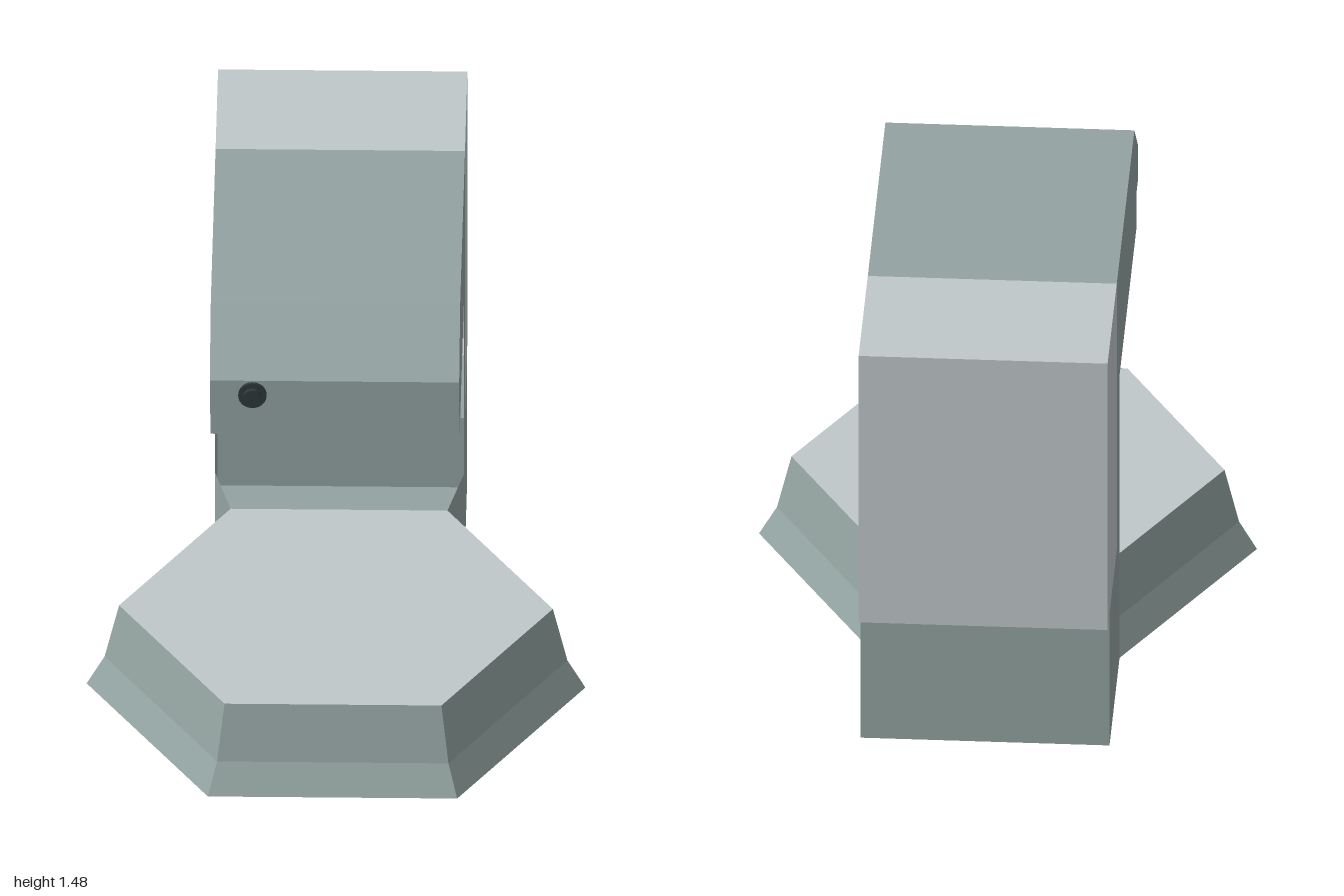
import * as THREE from 'three';

const W = 0.395; // half width of the column and head

export function createModel() {
  const group = new THREE.Group();
  const mat = (name, color) => {
    const m = new THREE.MeshStandardMaterial({ color, side: THREE.DoubleSide });
    m.name = name;
    return m;
  };
  const teal = mat('greyTeal', 0x93a3a1);
  const grey = mat('lightGrey', 0xc0c8ca);
  const dark = mat('darkLens', 0x2e383a);

  const add = (name, geometry, material) => {
    const mesh = new THREE.Mesh(geometry, material);
    mesh.name = name;
    group.add(mesh);
    return mesh;
  };
  const faces = (points) => {
    const g = new THREE.BufferGeometry();
    g.setAttribute('position', new THREE.Float32BufferAttribute(points, 3));
    g.computeVertexNormals();
    return g;
  };
  // flat panels spanning the full width along a [z, y] path
  const strip = (path) => {
    const p = [];
    for (let i = 0; i < path.length - 1; i++) {
      const [z0, y0] = path[i], [z1, y1] = path[i + 1];
      p.push(-W, y0, z0, W, y0, z0, W, y1, z1, -W, y0, z0, W, y1, z1, -W, y1, z1);
    }
    return faces(p);
  };
  // a pair of thin side walls from a [z, y] outline
  const sideWalls = (name, outline, material) => {
    const shape = new THREE.Shape(outline.map(([z, y]) => new THREE.Vector2(z, y)));
    for (const s of [-1, 1]) {
      const g = new THREE.ShapeGeometry(shape);
      g.rotateY(-Math.PI / 2);
      if (s > 0) {
        g.rotateY(Math.PI);
        g.scale(1, 1, -1);
        const idx = g.index.array;
        for (let i = 0; i < idx.length; i += 3) [idx[i], idx[i + 1]] = [idx[i + 1], idx[i]];
      }
      g.translate(s * W, 0, 0);
      const flat = g.toNonIndexed();
      flat.computeVertexNormals();
      add(name + (s > 0 ? 'Left' : 'Right'), flat, material);
    }
  };

  // hexagonal base: bevelled sides, top plate and underside
  const rim = [[0.79, 0], [0.733, 0.1], [0.687, 0.29]].map(([r, y]) => new THREE.Vector2(r, y));
  const baseSides = new THREE.LatheGeometry(rim, 6, Math.PI / 2).toNonIndexed();
  baseSides.computeVertexNormals();
  add('baseSides', baseSides, teal).position.z = 0.315;
  add('baseTop', new THREE.CircleGeometry(0.687, 6).rotateX(-Math.PI / 2), grey).position.set(0, 0.29, 0.315);
  add('baseUnderside', new THREE.CircleGeometry(0.79, 6).rotateX(Math.PI / 2), teal).position.z = 0.315;

  // gussets joining the base to the column
  for (const s of [-1, 1]) {
    add('gusset', faces([
      s * 0.3435, 0.29, -0.28, s * W, 0.375, -0.365, s * 0.3665, 0.1, -0.32,
      s * W, 0.375, -0.365, s * W, 0, -0.365, s * 0.3665, 0.1, -0.32,
    ]), teal);
  }

  // hollow column and head, open at the column's front
  sideWalls('bodySide', [
    [-0.9, 0], [-0.365, 0], [-0.365, 1.05], [0.515, 1.05], [0.515, 1.18], [0.61, 1.18],
    [0.61, 1.305], [0.415, 1.48], [-0.515, 1.48], [-0.515, 0.49], [-0.9, 0.49],
  ], teal);
  add('headShell', strip([
    [-0.365, 1.05], [0.515, 1.05], [0.515, 1.18], [0.61, 1.18], [0.61, 1.305], [0.415, 1.48], [-0.515, 1.48],
  ]), teal);
  add('columnShell', strip([[-0.365, 0], [-0.9, 0], [-0.9, 0.49], [-0.515, 0.49]]), teal);

  // rear housing
  sideWalls('housingSide', [[-1, 0.49], [-0.515, 0.49], [-0.515, 1.48], [-1, 1.48]], grey);
  add('housingShell', strip([[-0.9, 0.49], [-1, 0.49], [-1, 1.48], [-0.515, 1.48]]), grey);

  // lens: wide ring and narrow tip
  for (const [name, r, z] of [['lensRing', 0.045, 0.612], ['lensTip', 0.028, 0.627]]) {
    const g = new THREE.CylinderGeometry(r, r, 0.016, 24).rotateX(Math.PI / 2);
    add(name, g, dark).position.set(-0.26, 1.255, z);
  }
  return group;
}
